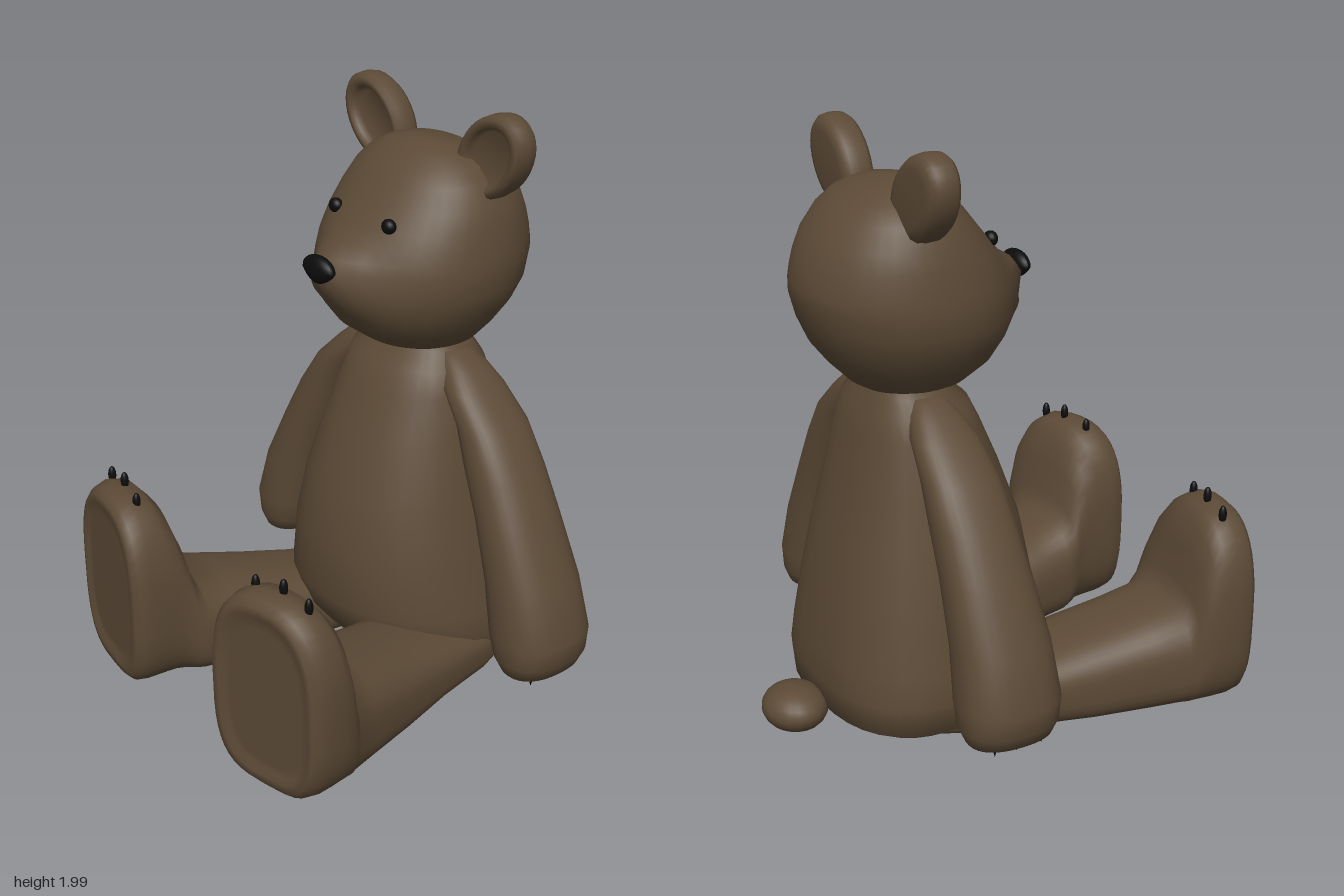
import * as THREE from 'three';

const material = (name, color) => {
  const m = new THREE.MeshStandardMaterial({ color });
  m.name = name;
  return m;
};

// Rows are [t, centre of x, half width, low v, high v]. Along 'y', v is z; along 'z', v is y.
// Powers under 1 make the low and high halves of a section boxier.
function loft(rows, { along = 'y', side = 1, low = 1, high = 1, seg = 32, warp } = {}) {
  const pos = [], idx = [];
  const put = (x, t, v) => {
    const p = along === 'y' ? new THREE.Vector3(x, t, v) : new THREE.Vector3(x, v, t);
    if (warp) warp(p);
    pos.push(p.x * side, p.y, p.z);
  };
  const pow = (n, p) => Math.sign(n) * Math.abs(n) ** p;
  for (const [t, cx, h, a, b] of rows) {
    for (let j = 0; j < seg; j++) {
      const g = (j / seg) * Math.PI * 2, s = Math.sin(g), p = s < 0 ? low : high;
      put(cx + h * pow(Math.cos(g), p), t, (a + b) / 2 + ((b - a) / 2) * pow(s, p));
    }
  }
  const first = rows[0], last = rows[rows.length - 1], n = rows.length * seg;
  put(first[1], first[0], (first[3] + first[4]) / 2);
  put(last[1], last[0], (last[3] + last[4]) / 2);
  // Reversed order whenever the axes or the mirroring turn the skin inside out
  const flip = (along === 'y') !== (side < 0);
  const tri = (a, b, c) => (flip ? idx.push(a, c, b) : idx.push(a, b, c));
  for (let j = 0; j < seg; j++) {
    const k = (j + 1) % seg;
    for (let i = 0; i < rows.length - 1; i++) {
      const a = i * seg + j, b = i * seg + k, c = a + seg, d = b + seg;
      tri(a, b, d);
      tri(a, d, c);
    }
    tri(n, k, j);
    tri(n + 1, n - seg + j, n - seg + k);
  }
  const geo = new THREE.BufferGeometry();
  geo.setAttribute('position', new THREE.Float32BufferAttribute(pos, 3));
  geo.setIndex(idx);
  geo.computeVertexNormals();
  return geo;
}

export function createModel() {
  const bear = new THREE.Group();
  bear.name = 'teddyBear';
  const fur = material('brownFur', 0x5c4a36);
  const black = material('black', 0x0c0c0c);

  const add = (name, geo, mat, x = 0, y = 0, z = 0) => {
    const mesh = new THREE.Mesh(geo, mat);
    mesh.name = name;
    mesh.position.set(x, y, z);
    bear.add(mesh);
    return mesh;
  };
  const ball = (name, mat, x, y, z, rx, ry, rz) => {
    const geo = new THREE.SphereGeometry(1, 20, 14);
    geo.scale(rx, ry, rz);
    return add(name, geo, mat, x, y, z);
  };

  // Torso, broad at the hips
  add('body', loft([
    [0.04, 0, 0.22, -0.42, -0.1],
    [0.05, 0, 0.34, -0.53, 0],
    [0.1, 0, 0.41, -0.6, 0.05],
    [0.2, 0, 0.43, -0.61, 0.13],
    [0.3, 0, 0.42, -0.6, 0.165],
    [0.5, 0, 0.385, -0.57, 0.16],
    [0.7, 0, 0.345, -0.53, 0.12],
    [0.9, 0, 0.3, -0.48, 0.045],
    [1.05, 0, 0.265, -0.45, -0.02],
    [1.13, 0, 0.24, -0.425, -0.06],
    [1.18, 0, 0.19, -0.4, -0.12],
    [1.24, 0, 0.17, -0.38, -0.14],
  ], { low: 0.75, high: 0.9 }), fur);

  // Head, with the middle of the face pulled forward into a muzzle
  add('head', loft([
    [1.175, 0, 0.14, -0.38, -0.13],
    [1.21, 0, 0.21, -0.44, -0.05],
    [1.27, 0, 0.265, -0.5, 0.03],
    [1.34, 0, 0.31, -0.555, 0.07],
    [1.42, 0, 0.345, -0.59, 0.09],
    [1.5, 0, 0.345, -0.612, 0.085],
    [1.54, 0, 0.34, -0.612, 0.075],
    [1.58, 0, 0.335, -0.605, 0.055],
    [1.63, 0, 0.325, -0.592, 0.028],
    [1.69, 0, 0.31, -0.565, -0.02],
    [1.76, 0, 0.275, -0.515, -0.075],
    [1.81, 0, 0.225, -0.46, -0.125],
    [1.845, 0, 0.15, -0.39, -0.18],
    [1.862, 0, 0.06, -0.31, -0.24],
  ], {
    seg: 40,
    low: 0.95,
    high: 0.95,
    warp: (p) => {
      if (p.z < -0.25) return;
      const width = p.y > 1.47 ? 0.11 : 0.16, height = p.y > 1.5 ? 0.07 : 0.13;
      p.z += 0.1 * Math.exp(-((p.x / width) ** 2) - ((p.y - 1.5) / height) ** 2);
    },
  }), fur);

  // Nose, tapering downward
  const nose = ball('nose', black, 0, 1.51, 0.172, 0.075, 0.047, 0.032);
  const np = nose.geometry.attributes.position;
  for (let i = 0; i < np.count; i++) {
    np.setX(i, np.getX(i) * (1 + 9 * Math.min(0, np.getY(i))));
  }
  nose.geometry.computeVertexNormals();

  ball('tail', fur, 0, 0.095, -0.68, 0.122, 0.077, 0.11);

  for (const side of [1, -1]) {
    const label = side > 0 ? 'left' : 'right';

    // Ear: a thick tilted oval, hollowed at the front
    const oval = [[-0.375, 0.65], [-0.368, 0.85], [-0.35, 0.96], [-0.32, 1], [-0.285, 0.98],
      [-0.27, 0.9], [-0.268, 0.78], [-0.28, 0.68], [-0.3, 0.6]];
    const ear = add(label + 'Ear', loft(
      oval.map(([z, k]) => [z, 0, 0.17 * k, -0.122 * k, 0.122 * k]), { along: 'z' }
    ), fur, side * 0.28, 1.853, 0);
    ear.rotation.z = side > 0 ? Math.PI / 4 : (Math.PI * 3) / 4;

    ball(label + 'Eye', black, side * 0.133, 1.65, -0.004, 0.027, 0.025, 0.022);

    // Arm, slanting out from the shoulder to a rounded paw
    add(label + 'Arm', loft([
      [0.182, 0.655, 0.05, -0.33, -0.14],
      [0.2, 0.655, 0.095, -0.385, -0.095],
      [0.25, 0.65, 0.125, -0.405, -0.075],
      [0.33, 0.643, 0.142, -0.41, -0.068],
      [0.5, 0.6, 0.135, -0.4, -0.08],
      [0.7, 0.515, 0.12, -0.39, -0.1],
      [0.85, 0.44, 0.115, -0.385, -0.115],
      [0.98, 0.37, 0.095, -0.38, -0.13],
      [1.08, 0.275, 0.085, -0.365, -0.15],
      [1.14, 0.22, 0.07, -0.34, -0.18],
      [1.18, 0.17, 0.05, -0.31, -0.21],
    ], { side, low: 0.85, high: 0.85 }), fur);
    ball(label + 'PalmPad', black, side * 0.517, 0.29, -0.24, 0.016, 0.065, 0.085).rotation.z = side * 0.2;

    // Leg running forward, turning up into the foot with a rimmed sole
    add(label + 'Leg', loft([
      [-0.45, 0.22, 0.13, 0.07, 0.18],
      [-0.2, 0.25, 0.19, 0.04, 0.23],
      [0, 0.28, 0.19, 0.02, 0.26],
      [0.2, 0.322, 0.202, 0.01, 0.305],
      [0.4, 0.365, 0.215, 0.012, 0.355],
      [0.51, 0.39, 0.225, 0.018, 0.39],
      [0.54, 0.405, 0.23, 0.02, 0.46],
      [0.56, 0.415, 0.23, 0.02, 0.57],
      [0.59, 0.425, 0.232, 0.02, 0.665],
      [0.63, 0.43, 0.235, 0.02, 0.71],
      [0.69, 0.435, 0.235, 0.02, 0.725],
      [0.735, 0.437, 0.23, 0.03, 0.71],
      [0.756, 0.44, 0.212, 0.05, 0.69],
      [0.76, 0.443, 0.19, 0.08, 0.665],
      [0.746, 0.446, 0.178, 0.098, 0.648],
      [0.747, 0.446, 0.15, 0.13, 0.61],
    ], {
      along: 'z', side, low: 0.6, high: 0.78, seg: 40,
      warp: (p) => { p.z += 0.16 * (0.44 - p.x) * THREE.MathUtils.smoothstep(p.z, 0.4, 0.7); },
    }), fur);

    // Three claws on each foot and paw
    [[0.335, 0.71, 0.69], [0.445, 0.735, 0.665], [0.55, 0.71, 0.65]].forEach(([x, y, z]) => {
      ball(label + 'ToeClaw', black, side * x, y, z, 0.013, 0.032, 0.014);
    });
    for (const z of [-0.15, -0.24, -0.32]) {
      const claw = add(label + 'FingerClaw', new THREE.ConeGeometry(0.017, 0.06, 10), black, side * 0.705, 0.195, z);
      claw.rotation.x = Math.PI;
    }
  }
  return bear;
}
